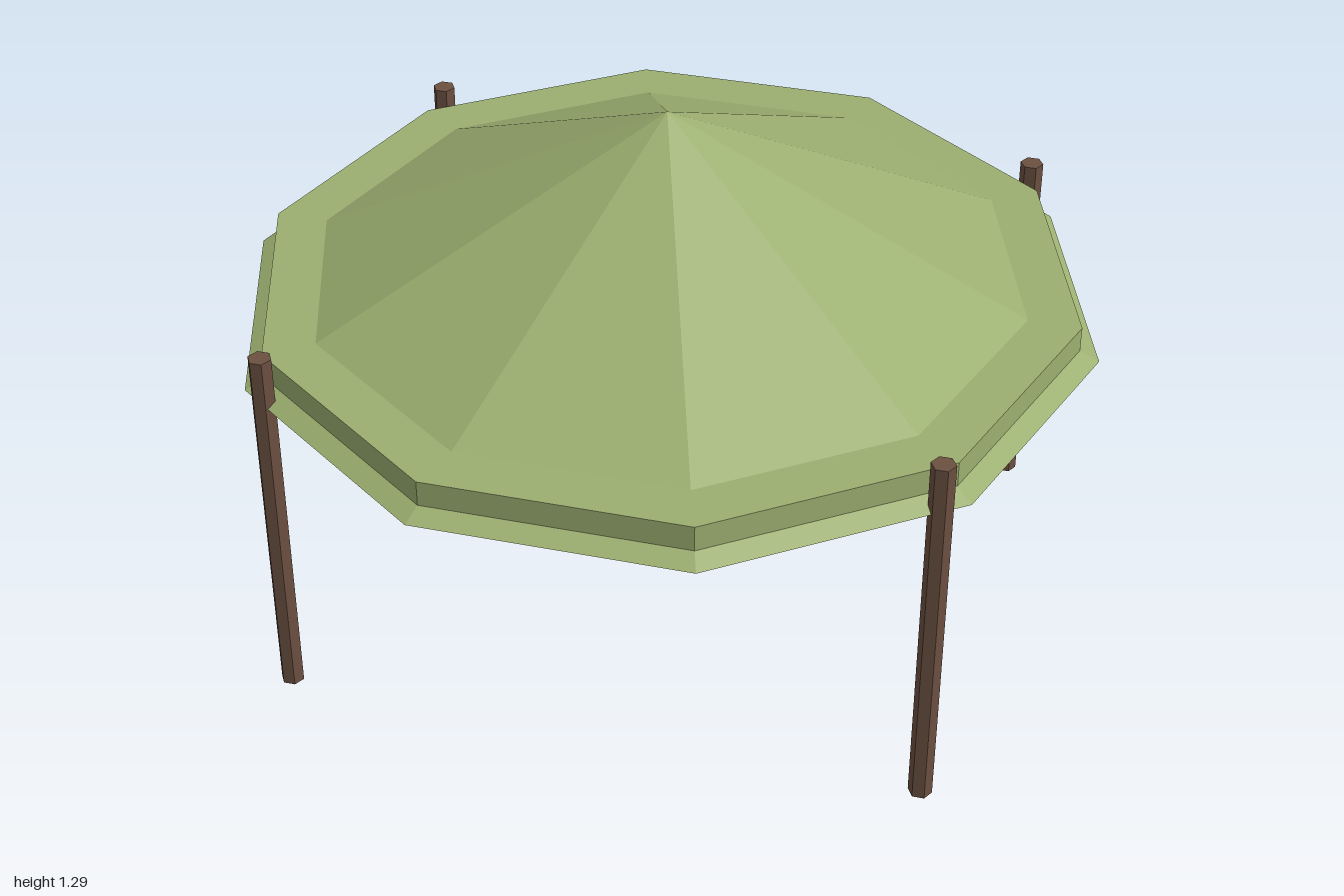
import * as THREE from 'three';

const material = (color) => new THREE.MeshStandardMaterial({ color, flatShading: true });

export function createModel() {
  const group = new THREE.Group();
  group.name = 'canopyShelter';
  const canvas = material(0x9caf70);
  const wood = material(0x6b5040);
  const darkWood = material(0x4e3e3a);
  const glow = material(0x7adcb2);

  function add(name, geometry, mat, x, y, z) {
    const mesh = new THREE.Mesh(geometry, mat);
    mesh.name = name;
    mesh.position.set(x, y, z);
    group.add(mesh);
    return mesh;
  }

  // Ten-sided roof with corners on the x axis
  const roofBase = 0.795, roofTop = 1.292;
  const roof = new THREE.ConeGeometry(1, roofTop - roofBase, 10).rotateY(Math.PI / 2);
  add('roof', roof, canvas, 0, (roofBase + roofTop) / 2, 0);

  // Flat-topped rim rising around the eaves
  const rimBase = 0.8, rimTop = 0.878;
  const rim = new THREE.CylinderGeometry(0.955, 0.955, rimTop - rimBase, 10).rotateY(Math.PI / 2);
  add('rim', rim, canvas, 0, (rimBase + rimTop) / 2, 0);

  // Four hexagonal posts
  const postHeight = 0.916;
  const post = new THREE.CylinderGeometry(0.0275, 0.0275, postHeight, 6).rotateY(Math.PI / 2);
  for (const [sx, side] of [[1, 'Left'], [-1, 'Right']]) {
    for (const [sz, end] of [[1, 'front'], [-1, 'back']]) {
      add(`${end}${side}Post`, post, wood, sx * 0.749, postHeight / 2, sz * 0.624);
    }
  }

  // Lantern on a thin rod
  add('lanternRod', new THREE.CylinderGeometry(0.007, 0.007, 0.19, 6), darkWood, 0, 0.657, 0);
  add('lantern', new THREE.BoxGeometry(0.08, 0.125, 0.08), glow, 0, 0.5025, 0);

  return group;
}
